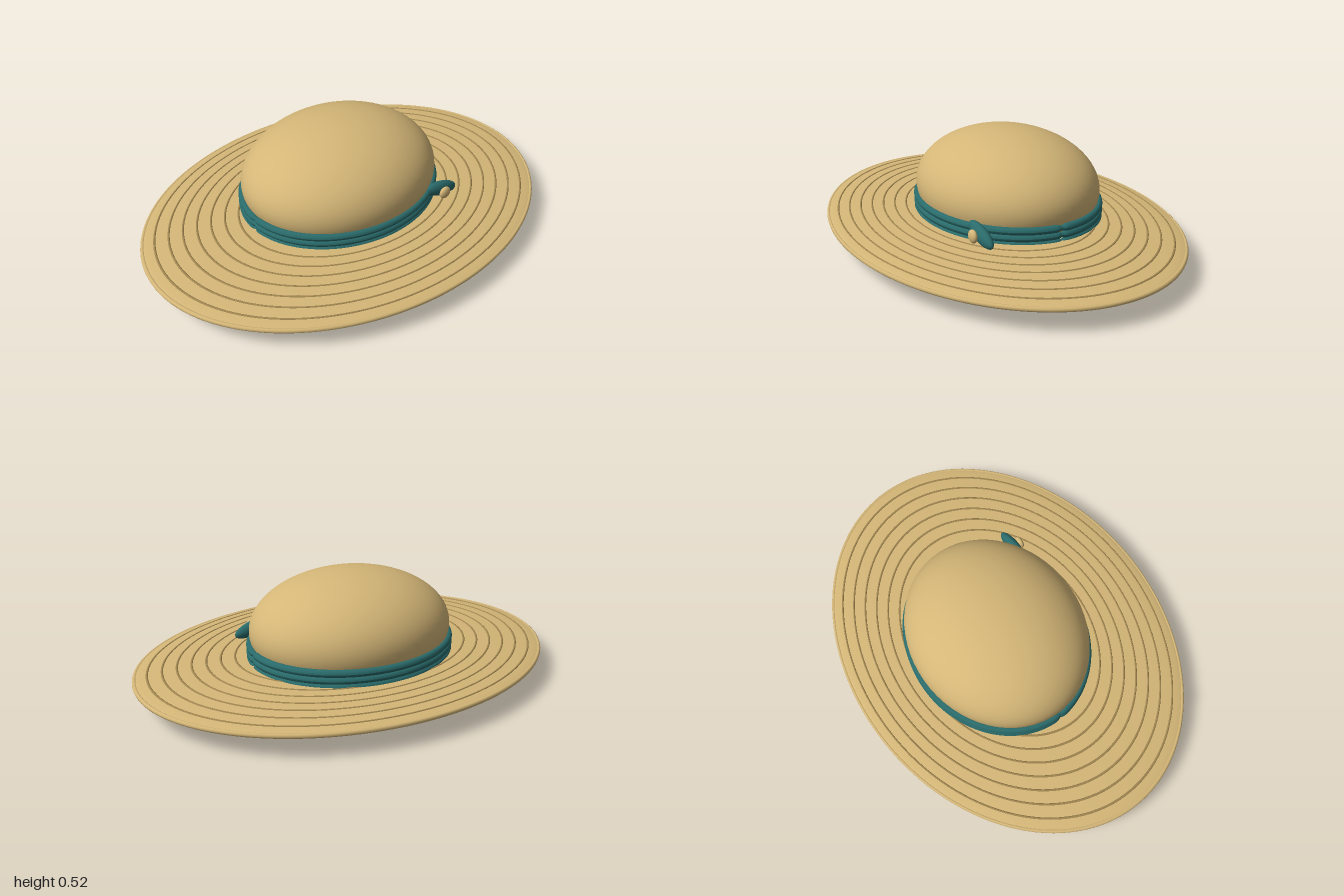
import * as THREE from 'three';

const mat = (name, color) => {
  const m = new THREE.MeshStandardMaterial({ color });
  m.name = name;
  return m;
};

export function createModel() {
  const hat = new THREE.Group();
  hat.name = 'sunHat';
  const straw = mat('straw', 0xd4b677);
  const weave = mat('dark weave', 0xa08550);
  const teal = mat('teal ribbon', 0x2a6b6b);

  const add = (name, geometry, material) => {
    const mesh = new THREE.Mesh(geometry, material);
    mesh.name = name;
    hat.add(mesh);
    return mesh;
  };
  const ellipsoid = (name, material, radii, position, w = 64, h = 40) => {
    const mesh = add(name, new THREE.SphereGeometry(1, w, h), material);
    mesh.scale.set(...radii);
    mesh.position.set(...position);
    return mesh;
  };

  // Wide oval brim and domed crown
  const brimY = 0.105, brimH = 0.05, brimDepth = 0.757, crownZ = -0.046;
  ellipsoid('brim', straw, [0.998, brimH, brimDepth], [0, brimY, 0], 128, 64);
  ellipsoid('crown', straw, [0.477, 0.262, 0.405], [0, 0.262, crownZ]);

  const ovalRing = (name, material, radius, tube, y) => {
    const geo = new THREE.TorusGeometry(radius, tube, 10, 128).rotateX(Math.PI / 2);
    const ring = add(name, geo, material);
    ring.scale.z = brimDepth;
    ring.position.y = y;
  };

  // Rolled edge, and concentric woven ridges half sunk in the brim
  ovalRing('brimEdge', straw, 0.9895, 0.0105, brimY);
  for (let i = 0; i < 7; i++) {
    const r = 0.933 - i * 0.0667;
    ovalRing('brimRidge' + (i + 1), weave, r, 0.006, brimY + brimH * Math.sqrt(1 - r * r) - 0.003);
  }

  // Three stacked ribbon cords, pinched where their halves meet at the sides
  const ribbonCord = () => {
    const u = 256, v = 14;
    const geo = new THREE.TorusGeometry(1, 0.5, v, u);
    const pos = geo.attributes.position;
    for (let j = 0; j <= v; j++) {
      for (let i = 0; i <= u; i++) {
        const a = (i / u) * Math.PI * 2, b = (j / v) * Math.PI * 2;
        const pinch = Math.min(1, Math.abs(Math.sin(a) - 0.05) / 0.06);
        const r = 0.0175 * (0.5 + 0.5 * Math.sqrt(pinch));
        const out = r * Math.cos(b);
        pos.setXYZ(j * (u + 1) + i,
          (0.474 + out) * Math.cos(a), -r * Math.sin(b), (0.401 + out) * Math.sin(a));
      }
    }
    geo.computeVertexNormals();
    return geo;
  };
  for (let i = 0; i < 3; i++) {
    add('ribbonCord' + (i + 1), ribbonCord(), teal).position.set(0, 0.142 + i * 0.031, crownZ - 0.001);
  }

  // Slanted ribbon knot with a round button
  const knot = ellipsoid('ribbonKnot', teal, [0.097, 0.037, 0.027], [0.34, 0.195, 0.291], 32, 20);
  knot.rotation.z = -0.27;
  ellipsoid('button', straw, [0.03, 0.03, 0.016], [0.335, 0.193, 0.328], 32, 20);

  return hat;
}
